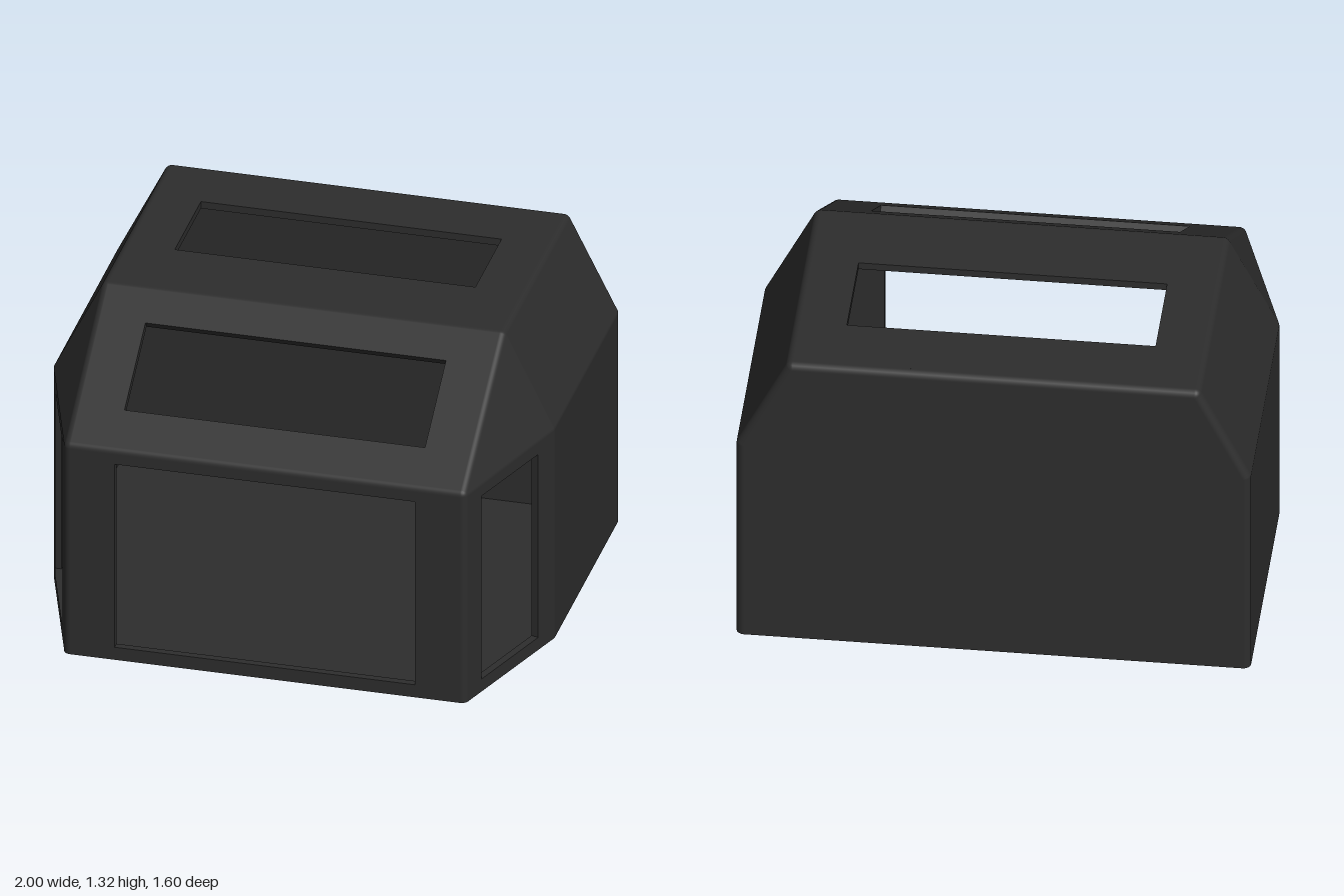
import * as THREE from 'three';
import { mergeGeometries } from 'three/addons/utils/BufferGeometryUtils.js';

const R = 0.03; // wall thickness and edge rounding
const SEG = 6;
const vec = (x, y, z) => new THREE.Vector3(x, y, z);

// Corners of the inner room; lower case is the left side, upper case its mirror
const corners = {
  a0: vec(0.778, 0, 0.77), a1: vec(0.778, 0.903, 0.77),
  b0: vec(0.97, 0, 0.195), b1: vec(0.97, 0.912, 0.195),
  c0: vec(0.97, 0, -0.77), c1: vec(0.97, 0.912, -0.77),
  t: vec(0.781, 1.29, 0.191), k: vec(0.781, 1.29, -0.77),
};
const mirrorX = (p) => vec(-p.x, p.y, p.z);
for (const key of Object.keys(corners)) corners[key.toUpperCase()] = mirrorX(corners[key]);

// Wall panels: name, corner loop, optional window given by two opposite corners
const panels = [
  ['frontPanel', 'a0 A0 A1 a1', [vec(-0.6, 0.055, 0.8), vec(0.6, 0.86, 0.8)]],
  ['frontSlope', 'a1 A1 T t', [vec(-0.6, 1.02, 0.65), vec(0.6, 1.235, 0.33)]],
  ['roofPanel', 't T K k', [vec(-0.6, 1.32, -0.12), vec(0.6, 1.32, -0.52)]],
  ['backPanel', 'c0 c1 k K C1 C0'],
];
const sidePanels = [
  ['AnglePanel', 'a0 b0 b1 a1', [vec(0.837, 0.055, 0.69), vec(0.963, 0.86, 0.31)]],
  ['SidePanel', 'b0 c0 c1 b1'],
  ['SideSlope', 'b1 c1 k t'],
  ['CornerSlope', 'a1 b1 t'],
];
for (const [name, loop, win] of sidePanels) {
  panels.push(['left' + name, loop, win]);
  panels.push(['right' + name, loop.toUpperCase(), win && win.map(mirrorX)]);
}

// Outward normal of a flat loop
function loopNormal(pts) {
  const n = pts[1].clone().sub(pts[0]).cross(pts[2].clone().sub(pts[0])).normalize();
  const centre = vec(0, 0.6, 0);
  return n.dot(pts[0].clone().sub(centre)) < 0 ? n.negate() : n;
}

// Slab with an optional window cut through it
function panelGeometry(pts, n, win) {
  const u = Math.abs(n.y) > 0.99 ? vec(1, 0, 0) : vec(0, 1, 0).cross(n).normalize();
  const v = n.clone().cross(u);
  const flat = (p) => new THREE.Vector2(p.dot(u), p.dot(v));
  const shape = new THREE.Shape(pts.map(flat));
  if (win) {
    const [p, q] = win.map(flat);
    shape.holes.push(new THREE.Path([
      p, new THREE.Vector2(q.x, p.y), q, new THREE.Vector2(p.x, q.y),
    ]));
  }
  const geo = new THREE.ExtrudeGeometry(shape, { depth: R, bevelEnabled: false });
  const matrix = new THREE.Matrix4().makeBasis(u, v, n);
  return geo.applyMatrix4(matrix.setPosition(n.clone().multiplyScalar(pts[0].dot(n))));
}

// Smooth grid; at(i, j) gives a ball centre and a unit direction from it
function roundedPatch(at, cols, rows) {
  const pos = [], nor = [], index = [];
  const point = ([c, d]) => c.clone().addScaledVector(d, R);
  const end = at(1, 1);
  const du = point(at(1 - 1 / cols, 1)).sub(point(end));
  const dv = point(at(1, 1 - 1 / rows)).sub(point(end));
  const flip = du.cross(dv).dot(end[1]) < 0;
  for (let j = 0; j <= rows; j++) {
    for (let i = 0; i <= cols; i++) {
      const s = at(i / cols, j / rows);
      pos.push(...point(s).toArray());
      nor.push(...s[1].toArray());
      if (i === cols || j === rows) continue;
      const a = j * (cols + 1) + i, b = a + 1, c = a + cols + 1, d = c + 1;
      index.push(...(flip ? [a, c, b, b, c, d] : [a, b, c, b, d, c]));
    }
  }
  const geo = new THREE.BufferGeometry();
  geo.setAttribute('position', new THREE.Float32BufferAttribute(pos, 3));
  geo.setAttribute('normal', new THREE.Float32BufferAttribute(nor, 3));
  return geo.setIndex(index);
}

const blend = (a, b, t) => a.clone().lerp(b, t).normalize();

export function createModel() {
  const model = new THREE.Group();
  model.name = 'shelter';
  const charcoal = new THREE.MeshStandardMaterial({ color: 0x2d2d2d });
  charcoal.name = 'charcoal';
  const add = (name, geo) => {
    const mesh = new THREE.Mesh(geo, charcoal);
    mesh.name = name;
    model.add(mesh);
  };

  // Walls and roof
  const edges = {}, meeting = {};
  for (const [name, loop, win] of panels) {
    const keys = loop.split(' ');
    const pts = keys.map((key) => corners[key]);
    const n = loopNormal(pts);
    add(name, panelGeometry(pts, n, win));
    keys.forEach((key, i) => {
      const pair = [key, keys[(i + 1) % keys.length]].sort().join(' ');
      (edges[pair] ??= []).push(n);
      (meeting[key] ??= []).push(n);
    });
  }

  // Rounded edges between neighbouring panels
  const strips = [];
  for (const [pair, normals] of Object.entries(edges)) {
    if (normals.length < 2) continue;
    const [p, q] = pair.split(' ').map((key) => corners[key]);
    strips.push(roundedPatch((i, j) => [p.clone().lerp(q, j), blend(...normals, i)], SEG, 1));
  }
  add('roundedEdges', mergeGeometries(strips));

  // Rounded corners where three or more panels meet
  const caps = [];
  for (const [key, normals] of Object.entries(meeting)) {
    if (normals.length < 3) continue;
    const mid = normals.reduce((sum, n) => sum.add(n), vec(0, 0, 0)).normalize();
    const e1 = normals[0].clone().projectOnPlane(mid).normalize();
    const e2 = mid.clone().cross(e1);
    const angle = (n) => Math.atan2(n.dot(e2), n.dot(e1));
    const ring = [...normals].sort((m, n) => angle(m) - angle(n));
    ring.forEach((n, k) => {
      const next = ring[(k + 1) % ring.length];
      caps.push(roundedPatch((i, j) => [corners[key], blend(mid, blend(n, next, i), j)], SEG, 3));
    });
  }
  add('roundedCorners', mergeGeometries(caps));

  // Floor slab, rounded at its six corners
  const outline = [];
  const base = ['a0', 'b0', 'c0', 'C0', 'B0', 'A0'];
  base.forEach((key, k) => {
    const pairWith = (other) => edges[[key, other].sort().join(' ')][0];
    const before = pairWith(base[(k + 5) % 6]), after = pairWith(base[(k + 1) % 6]);
    for (let i = 0; i <= SEG; i++) {
      const p = corners[key].clone().addScaledVector(blend(before, after, i / SEG), R - 0.0005);
      outline.push(new THREE.Vector2(p.x, -p.z));
    }
  });
  const floor = new THREE.ExtrudeGeometry(new THREE.Shape(outline), { depth: R, bevelEnabled: false });
  add('floor', floor.rotateX(-Math.PI / 2));

  return model;
}
